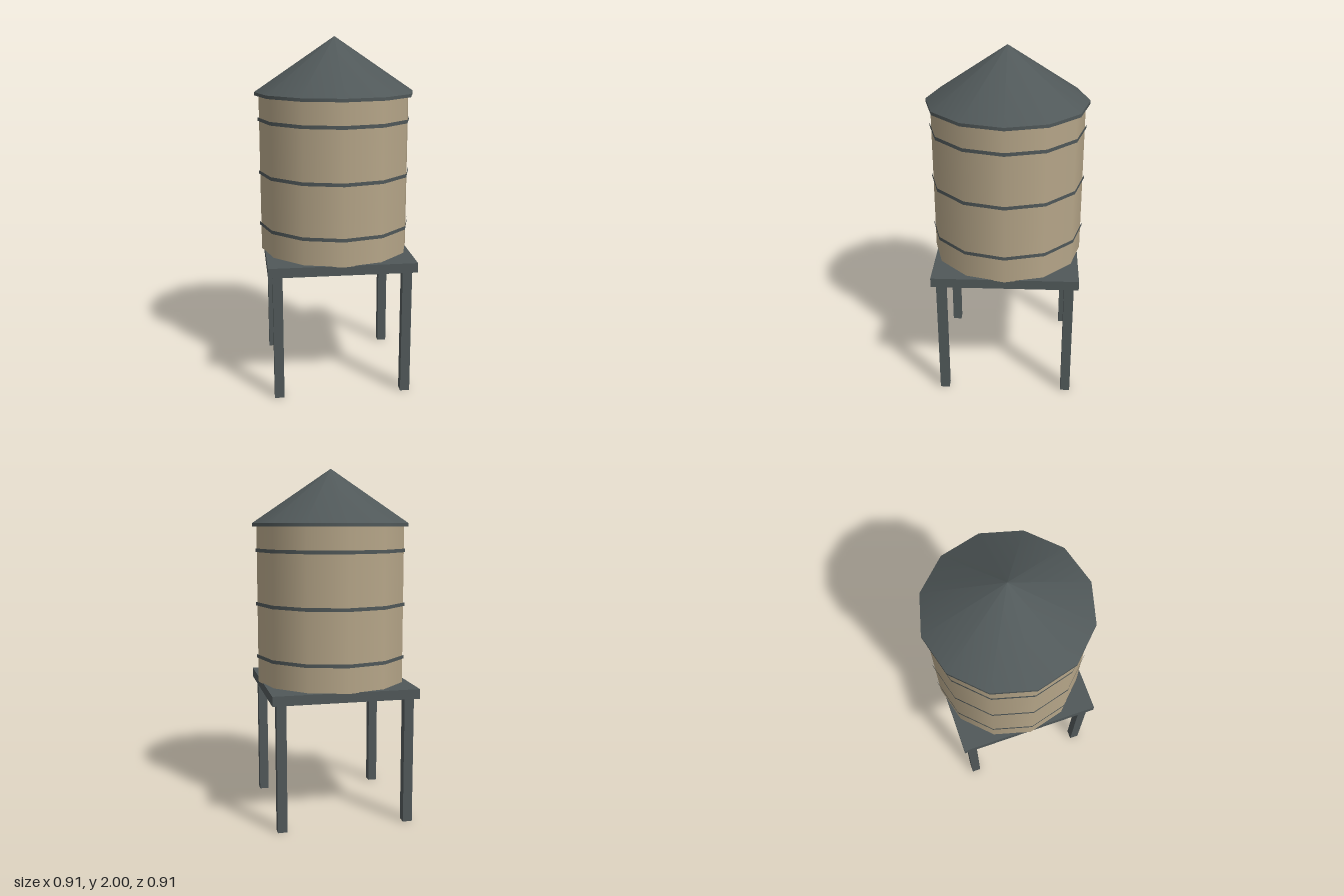
import * as THREE from 'three';

const SIDES = 12;

export function createModel() {
  const model = new THREE.Group();
  model.name = 'waterTower';

  const wood = new THREE.MeshStandardMaterial({ color: 0xb5a588 });
  wood.name = 'weathered wood';
  const steel = new THREE.MeshStandardMaterial({ color: 0x505859 });
  steel.name = 'dark steel';

  const add = (name, geometry, material, x, y, z) => {
    const mesh = new THREE.Mesh(geometry, material);
    mesh.name = name;
    mesh.position.set(x, y, z);
    model.add(mesh);
  };
  // Twelve-sided drum between two heights
  const drum = (name, radius, y0, y1, material, open = false) =>
    add(name, new THREE.CylinderGeometry(radius, radius, y1 - y0, SIDES, 1, open), material, 0, (y0 + y1) / 2, 0);

  // Four square legs
  for (const x of [-1, 1]) {
    for (const z of [-1, 1]) {
      add('leg', new THREE.BoxGeometry(0.054, 0.73, 0.054), steel, x * 0.362, 0.365, z * 0.362);
    }
  }

  // Square platform
  add('platform', new THREE.BoxGeometry(0.83, 0.055, 0.83), steel, 0, 0.7525, 0);

  // Tank and its three hoops
  drum('tank', 0.432, 0.777, 1.685, wood);
  for (const y of [0.931, 1.236, 1.541]) {
    drum('hoop', 0.44, y - 0.01, y + 0.01, steel, true);
  }

  // Roof rim and conical roof
  drum('roofRim', 0.457, 1.675, 1.693, steel);
  add('roof', new THREE.ConeGeometry(0.457, 0.307, SIDES, 1, true), steel, 0, 1.8465, 0);

  return model;
}
